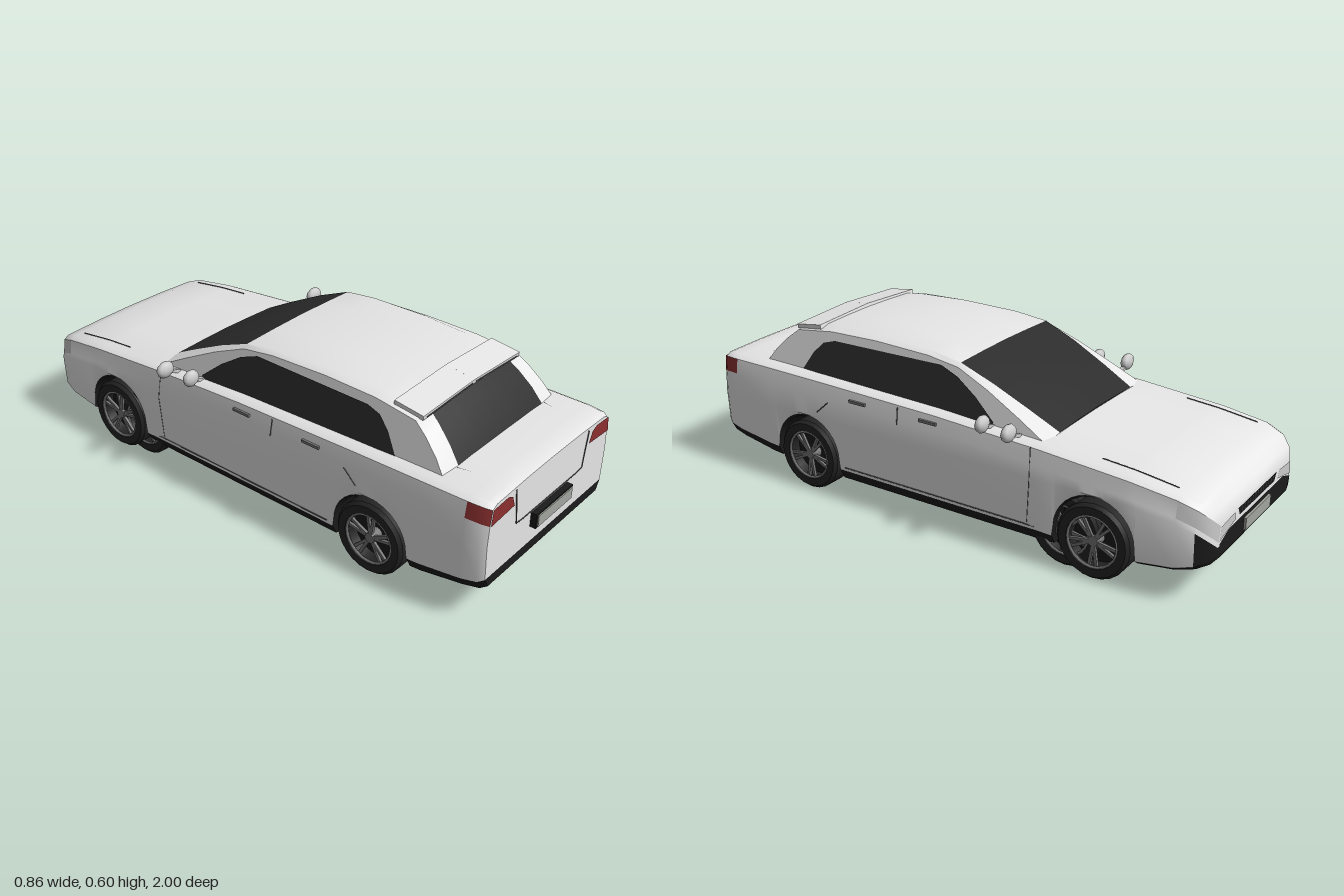
import * as THREE from 'three';
import { toCreasedNormals } from 'three/addons/utils/BufferGeometryUtils.js';

const palette = {
  paint: 0xececec, blackTrim: 0x1b1b1b, glass: 0x2c2c2c, tailRed: 0x8c3030, wheelGrey: 0x777777,
  plateGrey: 0xa3a69f, seamGrey: 0x555555, lampGrey: 0xcbcbcb, tyre: 0x242424,
};
const lerp = THREE.MathUtils.lerp;

// Linear lookup in rows of [z, value, value, ...]
function sample(rows, z) {
  let i = 0;
  while (i < rows.length - 2 && z > rows[i + 1][0]) i++;
  const a = rows[i], b = rows[i + 1], t = THREE.MathUtils.clamp((z - a[0]) / (b[0] - a[0]), 0, 1);
  return a.map((v, k) => lerp(v, b[k], t));
}

// Lofts mirrored half sections (bottom to top) along z; colourOf(z, strip) names the colour
function loft(sections, colourOf) {
  const buckets = {};
  const tri = (key, a, b, c) => {
    const area = new THREE.Triangle(a, b, c).getArea();
    if (area > 1e-9) (buckets[key] ??= []).push(...a.toArray(), ...b.toArray(), ...c.toArray());
  };
  const quad = (key, a, b, c, d) => { tri(key, a, b, c); tri(key, a, c, d); };
  const point = (s, j, side) => new THREE.Vector3(side * s.pts[j][0], s.pts[j][1], s.z);
  const strips = sections[0].pts.length - 1;
  for (let j = 0; j < strips; j++) {
    for (let i = 0; i < sections.length - 1; i++) {
      const s = sections[i], n = sections[i + 1], key = colourOf((s.z + n.z) / 2, j);
      quad(key, point(s, j, 1), point(s, j + 1, 1), point(n, j + 1, 1), point(n, j, 1));
      quad(key, point(n, j, -1), point(n, j + 1, -1), point(s, j + 1, -1), point(s, j, -1));
    }
    const f = sections[0], r = sections.at(-1);
    quad(colourOf(f.z, j, true), point(f, j, 1), point(f, j, -1), point(f, j + 1, -1), point(f, j + 1, 1));
    quad(colourOf(r.z, j, true), point(r, j, -1), point(r, j, 1), point(r, j + 1, 1), point(r, j + 1, -1));
  }
  return Object.entries(buckets).map(([key, pos]) => {
    const g = new THREE.BufferGeometry();
    g.setAttribute('position', new THREE.Float32BufferAttribute(pos, 3));
    return [key, toCreasedNormals(g, 0.6)];
  });
}

export function createModel() {
  const car = new THREE.Group();
  car.name = 'car';
  const mats = {};
  for (const [name, color] of Object.entries(palette)) {
    mats[name] = new THREE.MeshStandardMaterial({ color });
    mats[name].name = name;
  }
  mats.glass.side = mats.tailRed.side = mats.blackTrim.side = mats.lampGrey.side = THREE.DoubleSide;
  const add = (name, geo, mat, parent = car) => {
    const m = new THREE.Mesh(geo, mats[mat]);
    m.name = name;
    parent.add(m);
    return m;
  };
  const box = (name, mat, size, pos, parent = car) => {
    const m = add(name, new THREE.BoxGeometry(...size), mat, parent);
    m.position.set(...pos);
    return m;
  };
  const seam = (name, pts) => add(name, new THREE.TubeGeometry(
    new THREE.CatmullRomCurve3(pts.map(p => new THREE.Vector3(...p)), false, 'catmullrom', 0.1), 16, 0.002, 5), 'seamGrey');

  // Lower body: z, half width, underside, sill line, shoulder height
  const bodyRows = [
    [-0.99, 0.29, 0.15, 0.165, 0.27], [-0.975, 0.325, 0.135, 0.15, 0.3], [-0.94, 0.352, 0.12, 0.135, 0.33],
    [-0.88, 0.366, 0.105, 0.12, 0.352], [-0.72, 0.372, 0.085, 0.1, 0.374], [-0.4, 0.375, 0.07, 0.11, 0.4],
    [0, 0.375, 0.07, 0.11, 0.42], [0.5, 0.375, 0.07, 0.11, 0.432], [0.75, 0.375, 0.09, 0.13, 0.436],
    [0.9, 0.372, 0.115, 0.15, 0.436], [0.955, 0.365, 0.125, 0.16, 0.434], [0.975, 0.352, 0.135, 0.17, 0.428],
  ];
  const axles = [-0.61, 0.56], archR = 0.143, hubY = 0.13;
  const stations = bodyRows.map(r => r[0]).filter(z => axles.every(c => Math.abs(z - c) > archR + 0.01));
  for (const c of axles) {
    stations.push(c - archR - 0.004, c + archR + 0.004);
    for (let k = 0; k <= 16; k++) stations.push(c + archR * Math.cos(k * Math.PI / 16));
  }
  stations.sort((a, b) => a - b);
  const bodySections = stations.map(z => {
    const [, w, under, sill, top] = sample(bodyRows, z);
    let arch = 0;
    for (const c of axles) {
      const d = Math.abs(z - c);
      if (d <= archR + 1e-6) arch = hubY + Math.sqrt(Math.max(0, archR * archR - d * d));
    }
    const yb = Math.max(under, arch), ys = Math.max(sill, arch && arch + 0.012);
    return { z, pts: [[0, yb], [0.93 * w, yb], [0.985 * w, ys], [w, Math.min(0.29, top - 0.08)],
      [0.985 * w, top - 0.065], [0.96 * w, top - 0.012], [0.9 * w, top], [0.45 * w, top + 0.006], [0, top + 0.008]] };
  });
  const bodyColour = (z, j, cap) => {
    if (j < 2 || (j === 2 && z < -0.94)) return 'blackTrim';
    if (j === 4 && !cap && z > 0.89) return 'tailRed';
    if (j === 4 && !cap && z < -0.89) return 'lampGrey';
    return 'paint';
  };
  for (const [key, g] of loft(bodySections, bodyColour)) add('body ' + key, g, key);
  box('underbody', 'blackTrim', [0.54, 0.23, 1.56], [0, 0.185, 0.01]);

  // Cabin: z, roof height, half width of the glass or roof panel
  const cabinRows = [
    [-0.41, 0.405, 0.24], [-0.3, 0.462, 0.25], [-0.17, 0.525, 0.26], [-0.045, 0.575, 0.266], [0.08, 0.591, 0.26],
    [0.3, 0.598, 0.25], [0.5, 0.594, 0.235], [0.655, 0.575, 0.213], [0.7, 0.54, 0.222], [0.75, 0.49, 0.232], [0.79, 0.436, 0.24],
  ];
  const sideX = y => 0.322 - (y - 0.4) * 0.244;
  const cabinSections = cabinRows.map(([z, y, w]) => ({
    z, pts: [[sideX(0.39), 0.39], [sideX(y - 0.012), y - 0.012], [w, y], [w * 0.5, y + 0.004], [0, y + 0.006]],
  }));
  const cabinColour = (z, j) => (j >= 2 && (z < -0.045 || z > 0.655) ? 'glass' : 'paint');
  for (const [key, g] of loft(cabinSections, cabinColour)) add('cabin ' + key, g, key);

  // Roof spoiler over the rear window
  for (const s of [1, -1]) {
    const lip = box('roofSpoiler', 'paint', [0.268, 0.016, 0.11], [s * 0.133, 0.583, 0.618]);
    lip.rotation.set(0.14, 0, -s * 0.045);
    box('spoilerSlot', 'seamGrey', [0.24, 0.002, 0.003], [s * 0.13, 0.574, 0.674]).rotation.z = -s * 0.045;
  }

  // Flat plate from x, y corners, facing +z or -z
  const flat = (name, mat, pts, z, back) => {
    const m = add(name, new THREE.ShapeGeometry(new THREE.Shape(pts.map(p => new THREE.Vector2(...p)))), mat);
    m.position.z = z;
    if (back) m.rotation.y = Math.PI;
    return m;
  };

  // Wheel: x axis, outer face towards +x
  const tyreProfile = [[0.088, -0.05], [0.12, -0.05], [0.13, -0.038], [0.13, 0.038], [0.12, 0.05], [0.092, 0.05], [0.088, 0.02], [0.088, -0.05]];
  const tyreGeo = toCreasedNormals(new THREE.LatheGeometry(tyreProfile.map(p => new THREE.Vector2(...p)), 24).toNonIndexed(), 0.5);
  const wheel = (name, x, z) => {
    const g = new THREE.Group();
    g.name = name;
    add('tyre', tyreGeo, 'tyre', g);
    add('wheelWell', new THREE.CylinderGeometry(0.089, 0.089, 0.02, 24), 'blackTrim', g).position.y = -0.01;
    const rim = add('rimRing', new THREE.TorusGeometry(0.088, 0.005, 6, 24), 'wheelGrey', g);
    rim.rotation.x = Math.PI / 2;
    rim.position.y = 0.044;
    add('hub', new THREE.CylinderGeometry(0.018, 0.022, 0.04, 12), 'wheelGrey', g).position.y = 0.022;
    for (let k = 0; k < 10; k++) {
      const a = Math.floor(k / 2) * Math.PI * 0.4 + (k % 2 ? 0.15 : -0.15);
      const spoke = box('spoke', 'wheelGrey', [0.076, 0.01, 0.01], [Math.cos(a) * 0.05, 0.034, -Math.sin(a) * 0.05], g);
      spoke.rotation.y = a;
    }
    g.rotation.z = x > 0 ? -Math.PI / 2 : Math.PI / 2;
    g.position.set(x, hubY, z);
    car.add(g);
    return g;
  };

  for (const s of [1, -1]) {
    const side = s > 0 ? 'left' : 'right';
    wheel(side + 'FrontWheel', s * 0.325, axles[0]);
    wheel(side + 'RearWheel', s * 0.325, axles[1]);
    wheel(side + 'InnerFrontWheel', s * 0.315, -0.5).scale.set(0.97, 0.8, 0.97);

    // Side glass laid on the sloping cabin wall
    const outline = [[0.61, 0.436], [0.57, 0.5], [0.53, 0.54], [0.48, 0.555], [0.02, 0.56], [-0.05, 0.535], [-0.13, 0.485], [-0.21, 0.42], [-0.2, 0.405]];
    const g = new THREE.ShapeGeometry(new THREE.Shape(outline.map(p => new THREE.Vector2(...p))));
    const p = g.attributes.position;
    for (let i = 0; i < p.count; i++) p.setXYZ(i, s * (sideX(p.getY(i)) + 0.004), p.getY(i), p.getX(i));
    if (s > 0) g.setIndex([...g.index.array].reverse());
    g.computeVertexNormals();
    add(side + 'SideWindows', g, 'glass');

    // Mirrors on short stalks
    for (const [x, z, r] of [[0.393, -0.315, 0.037], [0.378, -0.205, 0.034]]) {
      const m = add(side + 'Mirror', new THREE.SphereGeometry(1, 10, 6), 'lampGrey');
      m.scale.set(r, 0.03, 0.02);
      m.position.set(s * x, 0.434, z);
      const stalk = box(side + 'MirrorStalk', 'lampGrey', [0.06, 0.012, 0.016], [s * (x - 0.035), 0.415, z]);
      stalk.rotation.z = s * 0.35;
    }

    // Door handles, seams and sill step
    for (const z of [0.32, 0.02]) box(side + 'DoorHandle', 'wheelGrey', [0.008, 0.01, 0.07], [s * 0.371, 0.384, z]);
    seam(side + 'FrontDoorSeam', [[s * 0.36, 0.39, -0.375], [s * 0.374, 0.29, -0.38], [s * 0.369, 0.13, -0.37]]);
    seam(side + 'MiddleDoorSeam', [[s * 0.362, 0.405, 0.15], [s * 0.372, 0.345, 0.148]]);
    seam(side + 'RearDoorSeam', [[s * 0.371, 0.355, 0.455], [s * 0.374, 0.31, 0.505]]);
    seam(side + 'SillSeam', [[s * 0.37, 0.122, -0.4], [s * 0.37, 0.122, 0.39]]);
    seam(side + 'HoodSeam', [[s * 0.3, 0.357, -0.86], [s * 0.3, 0.376, -0.72], [s * 0.3, 0.386, -0.6]]);
    seam(side + 'TrunkSeam', [[s * 0.25, 0.438, 0.79], [s * 0.22, 0.436, 0.94], [s * 0.215, 0.428, 0.976],
      [s * 0.2, 0.33, 0.976], [s * 0.2, 0.3, 0.976], [s * 0.19, 0.29, 0.976], [0, 0.29, 0.976]]);

    // Lamps on the flat ends
    flat(side + 'TailLamp', 'tailRed', [[s * 0.22, 0.372], [s * 0.347, 0.363], [s * 0.338, 0.418], [s * 0.26, 0.422], [s * 0.235, 0.41]], 0.978);
    flat(side + 'Headlamp', 'lampGrey', [[s * 0.17, 0.235], [s * 0.285, 0.21], [s * 0.278, 0.256], [s * 0.18, 0.262]], -0.992, true);
  }

  // Front end: grille, lower intake and number plate
  flat('grille', 'blackTrim', [[-0.14, 0.238], [0.14, 0.238], [0.155, 0.265], [-0.155, 0.265]], -0.992, true);
  for (let k = -6; k <= 6; k++) box('grilleBar', 'wheelGrey', [0.006, 0.02, 0.004], [k * 0.021, 0.252, -0.993]);
  flat('lowerIntake', 'blackTrim', [[-0.27, 0.155], [0.27, 0.155], [0.285, 0.2], [0.22, 0.224], [-0.22, 0.224], [-0.285, 0.2]], -0.992, true);
  box('frontPlate', 'plateGrey', [0.2, 0.042, 0.008], [0, 0.188, -0.996]);

  // Rear number plate in a dark frame
  box('rearPlateFrame', 'blackTrim', [0.216, 0.052, 0.022], [0, 0.257, 0.985]);
  box('rearPlate', 'plateGrey', [0.202, 0.04, 0.006], [0, 0.257, 0.997]);
  return car;
}
